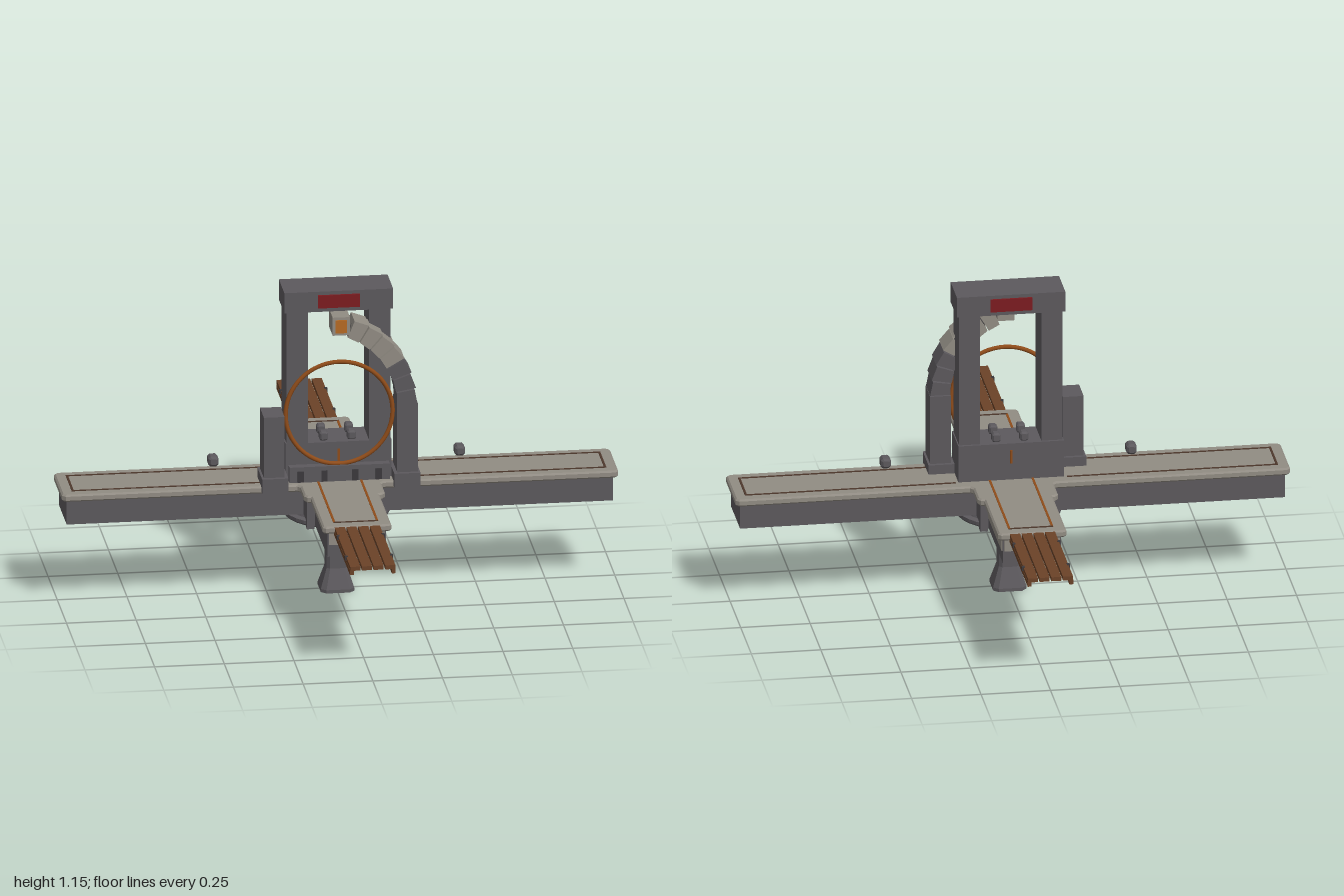
import * as THREE from 'three';

const mat = (name, color, side = THREE.FrontSide) => {
  const m = new THREE.MeshStandardMaterial({ color, side });
  m.name = name;
  return m;
};

export function createModel() {
  const root = new THREE.Group();
  root.name = 'gatePlatform';
  const dark = mat('darkStone', 0x5c595d);
  const light = mat('paleStone', 0x918c83);
  const copper = mat('copper', 0x8f4c1a);
  const wood = mat('wood', 0x6b4228);
  const trim = mat('darkTrim', 0x4d382c);
  const red = mat('redSign', 0x7c1c20);
  const glow = mat('amberLamp', 0xb56a24);
  const iron = mat('iron', 0x3b393c);

  const add = (name, geo, m, x = 0, y = 0, z = 0) => {
    const mesh = new THREE.Mesh(geo, m);
    mesh.name = name;
    mesh.position.set(x, y, z);
    root.add(mesh);
    return mesh;
  };
  // Box given by its lower and upper limits on each axis
  const box = (name, m, x0, x1, y0, y1, z0, z1) =>
    add(name, new THREE.BoxGeometry(x1 - x0, y1 - y0, z1 - z0), m, (x0 + x1) / 2, (y0 + y1) / 2, (z0 + z1) / 2);
  // Chamfered block centred on its position
  const block = (name, m, w, h, d, c, x, y, z) => {
    const s = new THREE.Shape([
      [w / 2 - c, -h / 2], [w / 2, -h / 2 + c], [w / 2, h / 2 - c], [w / 2 - c, h / 2],
      [-w / 2 + c, h / 2], [-w / 2, h / 2 - c], [-w / 2, -h / 2 + c], [-w / 2 + c, -h / 2],
    ].map(p => new THREE.Vector2(...p)));
    const g = new THREE.ExtrudeGeometry(s, {
      depth: d - 2 * c, bevelThickness: c, bevelSize: c, bevelOffset: -c, bevelSegments: 1,
    });
    return add(name, g.translate(0, 0, c - d / 2), m, x, y, z);
  };

  // Stepped cross outline, mirrored from one quarter and extruded upwards
  const cross = (name, m, quarter, y0, y1, bevel) => {
    const flip = (sx, sy) => quarter.map(([x, y]) => new THREE.Vector2(sx * x, sy * y));
    const shape = new THREE.Shape([
      ...flip(1, 1), ...flip(-1, 1).reverse(), ...flip(-1, -1), ...flip(1, -1).reverse(),
    ]);
    const g = new THREE.ExtrudeGeometry(shape, {
      depth: y1 - y0 - 2 * bevel, bevelEnabled: bevel > 0, bevelThickness: bevel,
      bevelSize: bevel, bevelOffset: -bevel, bevelSegments: 1,
    });
    g.rotateX(-Math.PI / 2);
    return add(name, g, m, 0, y0 + bevel, 0);
  };
  cross('deckBody', dark, [[0.98, 0.105], [0.13, 0.105], [0.13, 0.23], [0.105, 0.23], [0.105, 0.565]], 0.32, 0.415, 0);
  cross('deckTop', light, [
    [0.985, 0.123], [0.998, 0.11],
  ].reverse().concat([[0.155, 0.123], [0.145, 0.135], [0.145, 0.23], [0.135, 0.245], [0.123, 0.25], [0.123, 0.57], [0.112, 0.58]]), 0.41, 0.437, 0.006);

  // Inlaid trim lines on the four arms
  for (const s of [-1, 1]) {
    const lineX = (m, x0, x1, z) => box('inlayLine', m, x0, x1, 0.434, 0.439, z - 0.004, z + 0.004);
    const lineZ = (m, x, z0, z1) => box('inlayLine', m, x - 0.004, x + 0.004, 0.434, 0.439, z0, z1);
    for (const t of [-1, 1]) {
      lineX(trim, Math.min(s * 0.2, s * 0.955), Math.max(s * 0.2, s * 0.955), t * 0.08);
      lineZ(copper, t * 0.077, Math.min(s * 0.07, s * 0.535), Math.max(s * 0.07, s * 0.535));
    }
    lineZ(trim, s * 0.955, -0.084, 0.084);
    lineX(trim, -0.08, 0.08, s * 0.535);
    // Pale facing on the ends of the short arms
    box('endFacing', light, -0.1, 0.1, 0.365, 0.41, s * 0.566 - 0.003, s * 0.566 + 0.003);
    // Ribs where the arms meet
    for (const t of [-1, 1]) box('cornerRib', dark, s * 0.122 - 0.014, s * 0.122 + 0.014, 0.31, 0.41, t * 0.225 - 0.014, t * 0.225 + 0.014);
  }
  box('sideFacing', light, 0.104, 0.109, 0.365, 0.41, -0.56, -0.24);

  // Plank walkways with side rails and cross pieces
  for (const s of [-1, 1]) {
    for (let i = 0; i < 4; i++) {
      const x = (i - 1.5) * 0.042;
      box('plank', wood, x - 0.018, x + 0.018, 0.419, 0.434, s * 0.785 - 0.215, s * 0.785 + 0.215);
    }
    for (const t of [-1, 1]) {
      box('walkwayRail', wood, t * 0.075 - 0.007, t * 0.075 + 0.007, 0.403, 0.42, s * 0.785 - 0.215, s * 0.785 + 0.215);
      for (const z of [0.67, 0.89]) box('walkwayPin', iron, t * 0.081 - 0.005, t * 0.081 + 0.005, 0.422, 0.437, s * z - 0.006, s * z + 0.006);
    }
    for (const z of [0.67, 0.89]) box('crossPiece', wood, -0.08, 0.08, 0.411, 0.42, s * z - 0.01, s * z + 0.01);
  }

  // Support dish and pedestal
  const dish = [[0, 0.262], [0.11, 0.264], [0.185, 0.288], [0.19, 0.294], [0.19, 0.306], [0.17, 0.31], [0.165, 0.322], [0, 0.322]];
  const dishGeo = new THREE.LatheGeometry(dish.map(p => new THREE.Vector2(...p)), 32).toNonIndexed();
  dishGeo.computeVertexNormals();
  add('supportDish', dishGeo, dark);
  // Square column with cut corners and a flared foot
  const rings = [[0.06, 0], [0.06, 0.012], [0.037, 0.085], [0.037, 0.27]];
  const pos = [], idx = [];
  for (const [r, y] of rings) {
    const c = r * 0.7;
    for (const [x, z] of [[r, c], [c, r], [-c, r], [-r, c], [-r, -c], [-c, -r], [c, -r], [r, -c]]) pos.push(x, y, z);
  }
  for (let k = 0; k < rings.length - 1; k++) for (let i = 0; i < 8; i++) {
    const a = k * 8 + i, b = k * 8 + (i + 1) % 8;
    idx.push(a, a + 8, b, b, a + 8, b + 8);
  }
  for (let i = 1; i < 7; i++) idx.push(0, i, i + 1);
  let stem = new THREE.BufferGeometry();
  stem.setAttribute('position', new THREE.Float32BufferAttribute(pos, 3));
  stem.setIndex(idx);
  stem = stem.toNonIndexed();
  stem.computeVertexNormals();
  add('pedestal', stem, dark);

  // Gate frame
  box('gateBase', dark, -0.19, 0.19, 0.43, 0.575, -0.076, 0.07);
  box('gateStep', dark, -0.18, 0.18, 0.43, 0.495, 0.06, 0.1);
  for (const s of [-1, 1]) {
    box('gateColumn', dark, s * 0.148 - 0.038, s * 0.148 + 0.038, 0.43, 1.075, -0.066, 0.07);
    box('gateSign', red, -0.075, 0.075, 1.085, 1.133, s * 0.078 - 0.004, s * 0.078 + 0.004);
    for (const x of [0.055, 0.14]) box('stepBracket', iron, s * x - 0.011, s * x + 0.011, 0.44, 0.48, 0.1, 0.108);
    for (const z of [-0.04, 0.035]) block('baseKnob', dark, 0.03, 0.035, 0.035, 0.006, s * 0.05, 0.59, z);
    block('hoveringKnob', dark, 0.036, 0.038, 0.05, 0.008, s * 0.442, 0.502, 0);
  }
  box('gateLintel', dark, -0.195, 0.195, 1.07, 1.146, -0.075, 0.075);
  box('backInlay', copper, -0.004, 0.004, 0.5, 0.55, -0.08, -0.075);
  box('frontInlay', copper, -0.004, 0.004, 0.5, 0.55, 0.069, 0.074);

  // Copper ring in front of the gate
  add('portalRing', new THREE.TorusGeometry(0.192, 0.008, 8, 64), copper, 0, 0.69, 0.084);

  // Side pillars on plinths
  for (const [s, top] of [[-1, 0.7], [1, 0.73]]) {
    box('pillarPlinth', dark, s * 0.237 - 0.047, s * 0.237 + 0.047, 0.42, 0.472, 0.012, 0.148);
    box('sidePillar', dark, s * 0.239 - 0.037, s * 0.239 + 0.037, 0.465, top, 0.025, 0.133);
  }

  // Curved arm of wedge blocks, fading from dark to pale stone
  const cx = -0.08, cy = 0.725, count = 7, span = 1.2;
  for (let i = 0; i < count; i++) {
    const a0 = (i / count) * span + 0.008, a1 = ((i + 1) / count) * span - 0.008;
    const at = (r, a) => new THREE.Vector2(cx + r * Math.cos(a), cy + r * Math.sin(a));
    const s = new THREE.Shape([at(0.282, a0), at(0.355, a0), at(0.349, a1), at(0.284, a1)]);
    const g = new THREE.ExtrudeGeometry(s, { depth: 0.1, bevelEnabled: false });
    add('armBlock', g, i < 3 ? dark : light, 0, 0, 0.034);
  }
  add('armCore', new THREE.TubeGeometry(new THREE.CatmullRomCurve3(
    [0, 0.3, 0.6, 0.9, 1.2].map(a => new THREE.Vector3(cx + 0.315 * Math.cos(a), cy + 0.315 * Math.sin(a), 0.084))), 16, 0.025, 6), iron);

  // Lamp at the tip of the arm
  box('lampHousing', light, -0.03, 0.032, 1.0, 1.068, 0.04, 0.138);
  box('lampPane', glow, -0.02, 0.02, 1.01, 1.058, 0.137, 0.144);
  return root;
}
